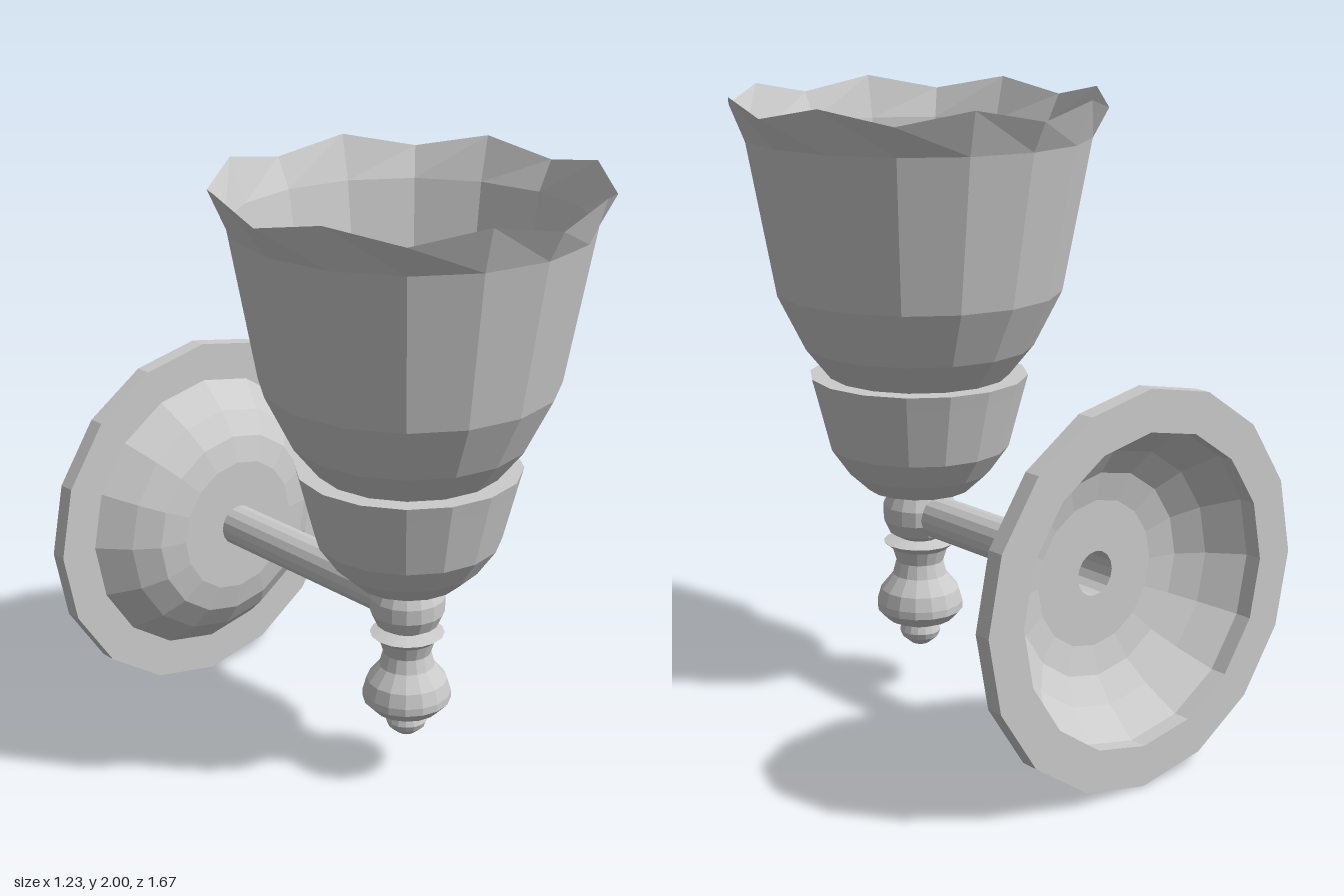
import * as THREE from 'three';

const SIDES = 16;
const AXIS_Z = 0.23; // vertical axis of the lamp
const ARM_Y = 0.62; // height of the arm and wall plate

const material = new THREE.MeshStandardMaterial({
  color: 0xcccccc, flatShading: true, side: THREE.DoubleSide,
});

// Turned part from [radius, height] pairs
function turned(name, profile, sides = SIDES, start = 0) {
  const points = profile.map(([r, y]) => new THREE.Vector2(r, y));
  const mesh = new THREE.Mesh(new THREE.LatheGeometry(points, sides, start), material);
  mesh.name = name;
  return mesh;
}

// Turned part lying along z, with heights read as z
function turnedAlongZ(name, profile) {
  const mesh = turned(name, profile);
  mesh.rotation.x = Math.PI / 2;
  mesh.position.y = ARM_Y;
  return mesh;
}

export function createModel() {
  const model = new THREE.Group();
  model.name = 'wallLamp';

  const lamp = new THREE.Group();
  lamp.name = 'lamp';
  lamp.position.z = AXIS_Z;
  model.add(lamp);

  // Open shade with a flared rim that rises at every other corner
  const shadeProfile = [[0.295, 1.09], [0.375, 1.19], [0.465, 1.37], [0.555, 1.86], [0.605, 1.955]];
  const shade = turned('shade', shadeProfile);
  const pos = shade.geometry.attributes.position;
  for (let i = 1; i <= SIDES; i += 2) {
    pos.setY(i * shadeProfile.length + shadeProfile.length - 1, 2);
  }
  lamp.add(shade);

  // Cup that carries the shade, closed on top
  lamp.add(turned('cup', [
    [0, 0.705], [0.17, 0.705], [0.235, 0.765], [0.295, 0.85],
    [0.345, 1.045], [0.357, 1.09], [0, 1.09],
  ]));

  // Six-sided bulb inside the shade
  lamp.add(turned('bulb', [
    [0.06, 1.09], [0.087, 1.19], [0.05, 1.31], [0.02, 1.36], [0, 1.37],
  ], 6, Math.PI / 2));

  // Ball joint under the cup
  lamp.add(turned('ballJoint', [
    [0.06, 0.53], [0.1, 0.552], [0.12, 0.595], [0.12, 0.645], [0.1, 0.69], [0.07, 0.705],
  ]));

  // Finial with its lower knob
  lamp.add(turned('finial', [
    [0, 0.155], [0.03, 0.16], [0.06, 0.185], [0.068, 0.205], [0.06, 0.23],
    [0.11, 0.25], [0.143, 0.285], [0.143, 0.31], [0.13, 0.355], [0.09, 0.405],
    [0.078, 0.45], [0.092, 0.495], [0.12, 0.518], [0.06, 0.53],
  ]));

  // Hollow arm from the ball joint to the wall plate
  model.add(turnedAlongZ('arm', [[0.07, -0.615], [0.07, 0.17]]));

  // Wall plate: flat ring and a hollow dish
  model.add(turnedAlongZ('plateRing', [
    [0.485, -0.84], [0.615, -0.84], [0.615, -0.785], [0.485, -0.785], [0.485, -0.84],
  ]));
  model.add(turnedAlongZ('plateDish', [
    [0.485, -0.785], [0.4, -0.69], [0.32, -0.635], [0.23, -0.615], [0.07, -0.615],
  ]));

  return model;
}
